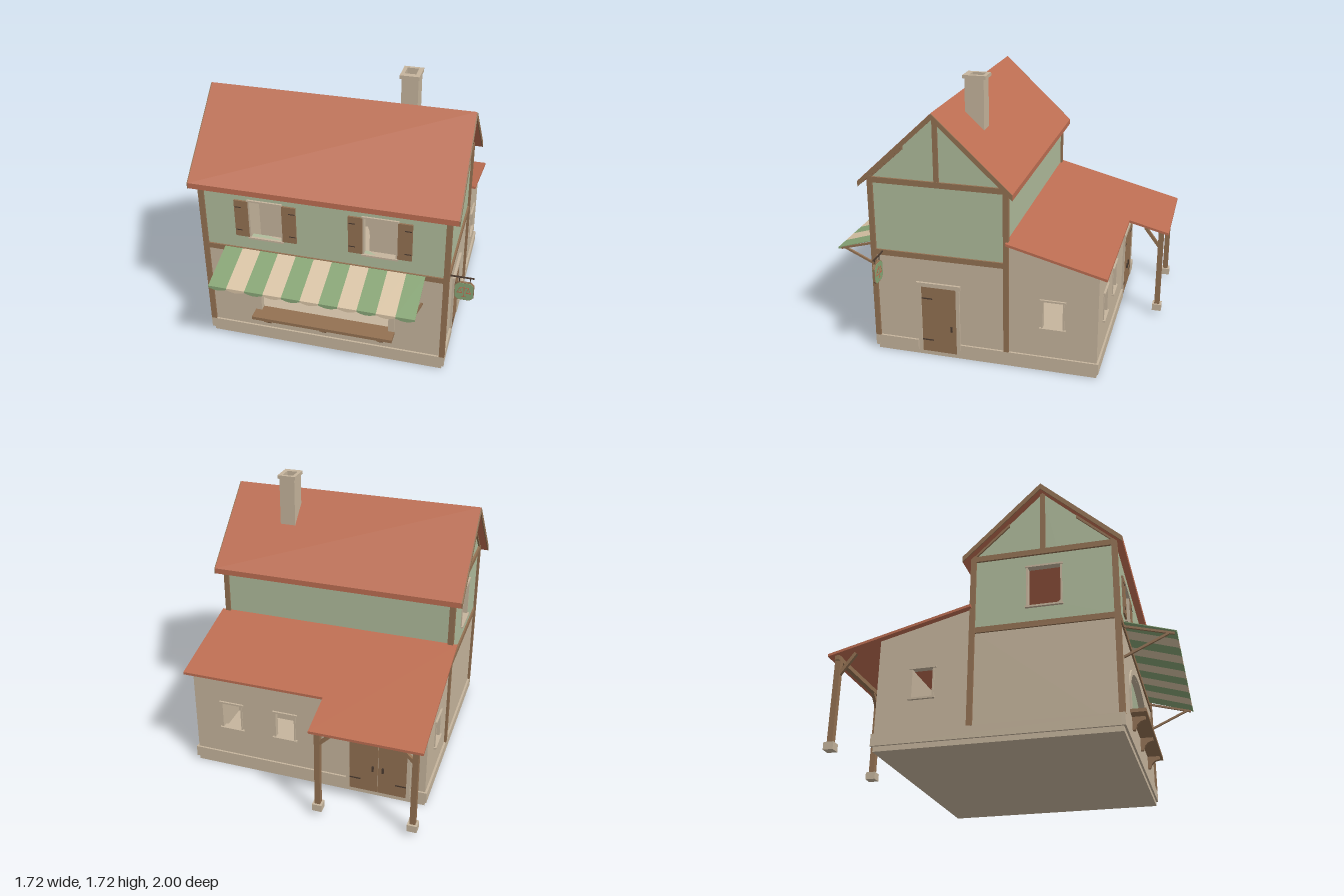
import * as THREE from 'three';

const paint = (name, color) => Object.assign(new THREE.MeshStandardMaterial({ color }), { name });

export function createModel() {
  const stone = paint('beige stone', 0xc6b59d);
  const plaster = paint('green plaster', 0xb0bc9c);
  const wood = paint('brown wood', 0x937152);
  const tile = paint('terracotta tile', 0xbd6e52);
  const clothGreen = paint('awning green', 0x88a576);
  const clothCream = paint('awning cream', 0xd9c4a6);
  clothGreen.side = clothCream.side = THREE.DoubleSide;
  const iron = paint('dark iron', 0x4b3b30);

  const root = new THREE.Group();
  const add = (name, geo, mat, parent = root) => {
    const m = new THREE.Mesh(geo, mat);
    m.name = name;
    parent.add(m);
    return m;
  };
  // box given by its limits
  const box = (name, mat, x0, x1, y0, y1, z0, z1, parent) =>
    add(name, new THREE.BoxGeometry(x1 - x0, y1 - y0, z1 - z0)
      .translate((x0 + x1) / 2, (y0 + y1) / 2, (z0 + z1) / 2), mat, parent);
  const rect = (a, b, c, d) => [[a, c], [b, c], [b, d], [a, d]];
  const extrude = (pts, holes, depth) => {
    const v = p => p.map(q => new THREE.Vector2(q[0], q[1]));
    const s = new THREE.Shape(v(pts));
    s.holes = holes.map(h => new THREE.Path(v(h)));
    return new THREE.ExtrudeGeometry(s, { depth, bevelEnabled: false });
  };
  // outline in x,y pushed along z
  const prismZ = (name, mat, pts, z0, z1, holes = [], parent) =>
    add(name, extrude(pts, holes, z1 - z0).translate(0, 0, z0), mat, parent);
  // outline in z,y pushed along x
  const prismX = (name, mat, pts, x0, x1, holes = [], parent) => {
    const flip = p => p.map(([z, y]) => [-z, y]);
    return add(name, extrude(flip(pts), holes.map(flip), x1 - x0).rotateY(Math.PI / 2).translate(x0, 0, 0), mat, parent);
  };
  // square bar between two points
  const bar = (name, mat, a, b, w, parent) => {
    const p = new THREE.Vector3(...a), q = new THREE.Vector3(...b), d = q.clone().sub(p);
    const m = add(name, new THREE.BoxGeometry(w, d.length(), w), mat, parent);
    m.position.copy(p).add(q).multiplyScalar(0.5);
    m.quaternion.setFromUnitVectors(new THREE.Vector3(0, 1, 0), d.normalize());
    return m;
  };
  const arch = (cx, y0, ySpring, rx, ry, n = 24) => {
    const pts = [[cx - rx, y0], [cx + rx, y0]];
    for (let i = 0; i <= n; i++) {
      const a = Math.PI * i / n;
      pts.push([cx + rx * Math.cos(a), ySpring + ry * Math.sin(a)]);
    }
    return pts;
  };
  // group facing outward from a wall; local +z is outward
  const mount = (name, x, y, z, turn) => {
    const g = new THREE.Group();
    g.name = name;
    g.position.set(x, y, z);
    g.rotation.y = turn;
    root.add(g);
    return g;
  };
  const RIGHT = Math.PI / 2, BACK = Math.PI, L = -0.8, R = 0.7, F = 0.7, T = 0.03;
  const MB = -0.14, EB = -0.69;

  // floor and plinth, broken at the doors
  box('floor', stone, L, R, 0, 0.03, EB, F);
  box('plinthFront', stone, L - 0.015, R + 0.015, 0.03, 0.1, F - 0.01, F + 0.012);
  box('plinthLeftSide', stone, R - 0.01, R + 0.013, 0.03, 0.1, 0.43, F);
  box('plinthLeftSide', stone, R - 0.01, R + 0.013, 0.03, 0.1, EB, 0.155);
  box('plinthRightSide', stone, L - 0.013, L + 0.01, 0.03, 0.1, EB, F);
  box('plinthBack', stone, -0.3, R + 0.013, 0.03, 0.1, EB - 0.012, EB + 0.01);
  box('plinthBack', stone, L - 0.013, -0.71, 0.03, 0.1, EB - 0.012, EB + 0.01);

  // main house walls
  const MID = 0.68, TOP = 1.165;
  prismZ('frontLowerWall', stone, rect(L, R, 0.03, MID), F - T, F, [arch(-0.05, 0.22, 0.36, 0.41, 0.21)]);
  prismZ('frontUpperWall', plaster, rect(L, R, MID, 1.15), F - T, F,
    [-0.4, 0.3].map(x => rect(x - 0.1, x + 0.1, 0.79, 1.04)));
  prismZ('backLowerWall', stone, rect(L + T, R - T, 0.03, MID), MB, MB + T, [arch(-0.11, 0.031, 0.35, 0.15, 0.15)]);
  prismZ('backUpperWall', plaster, rect(L, R, MID, 1.15), MB, MB + T);
  const gable = [[MB, MID], [F, MID], [F, 1.155], [0.28, 1.55], [MB, 1.155]];
  const upperWindow = rect(0.185, 0.385, 0.79, 1.04);
  for (const [x, holes] of [[R - T, []], [L, [upperWindow]]]) {
    prismX('sideLowerWall', stone, rect(MB, F - T, 0.03, MID), x, x + T);
    prismX('gableWall', plaster, gable, x, x + T, holes);
  }

  // rear extension walls
  const roofY = z => 0.83 + (z - MB) * 0.256;
  for (const x of [L, R - T])
    prismX('extensionSideWall', stone, [[EB, 0.03], [MB, 0.03], [MB, roofY(MB) - 0.012], [EB, roofY(EB) - 0.012]],
      x, x + T, [rect(-0.485, -0.355, 0.295, 0.47)]);
  prismZ('extensionBackWall', stone, rect(L + T, R - T, 0.03, roofY(EB) - 0.012), EB, EB + T,
    [0.095, 0.45].map(x => rect(x - 0.065, x + 0.065, 0.295, 0.47)));

  // main roof with wooden gable edges
  const chevron = [[0.75, 1.14], [0.28, 1.58], [-0.19, 1.14], [-0.19, 1.105], [0.28, 1.545], [0.75, 1.105]];
  prismX('mainRoof', tile, chevron, -0.855, 0.755);
  const barge = [[0.75, 1.138], [0.28, 1.578], [-0.19, 1.138], [-0.19, 1.103], [0.28, 1.54], [0.75, 1.103]];
  for (const x of [-0.861, 0.755]) prismX('bargeBoard', wood, barge, x, x + 0.006);

  // lean-to roof, longer over the porch
  const slab = (x0, x1, z) => prismX('leanToRoof', tile,
    [[MB, roofY(MB)], [z, roofY(z)], [z, roofY(z) - 0.016], [MB, roofY(MB) - 0.016]], x0, x1);
  slab(-0.84, -0.17, -1);
  slab(-0.17, 0.74, -0.74);

  // chimney, open at the top
  const ring = (name, x0, x1, z0, z1, y0, y1) => {
    const g = extrude(rect(x0, x1, -z1, -z0), [rect(0.31, 0.378, -0.172, -0.088)], y1 - y0);
    add(name, g.rotateX(-Math.PI / 2).translate(0, y0, 0), stone);
  };
  ring('chimney', 0.298, 0.398, 0.08, 0.198, 1.3, 1.7);
  ring('chimneyCap', 0.288, 0.405, 0.066, 0.208, 1.7, 1.722);

  // timber frame
  for (const [x0, x1] of [[L - 0.015, L + 0.02], [R - 0.018, R + 0.015]]) {
    box('cornerPost', wood, x0, x1, 0.1, 1.16, F - 0.02, F + 0.012);
    box('cornerPost', wood, x0, x1, 0.1, 1.16, MB - 0.012, MB + 0.02);
  }
  box('frontBeam', wood, L, R, 0.665, 0.7, F - 0.01, F + 0.01);
  for (const x of [L, R]) {
    box('sideBeam', wood, x - 0.011, x + 0.011, 0.655, 0.69, MB, F);
    box('sideBeam', wood, x - 0.013, x + 0.013, 1.12, 1.155, MB, F);
    box('kingPost', wood, x - 0.011, x + 0.011, 1.155, 1.545, 0.265, 0.295);
    for (const s of [1, -1])
      prismX('rafter', wood, [[0.2, 1.363], [0.43, 1.148], [0.43, 1.128], [0.2, 1.338]]
        .map(([d, y]) => [0.28 + s * d, y]), x - 0.011, x + 0.011);
  }

  // windows
  const frame = (g, w, h, lip) => {
    box('lintel', stone, -w / 2 - lip, w / 2 + lip, h / 2, h / 2 + 0.011, -T, 0.012, g);
    box('sill', stone, -w / 2 - lip, w / 2 + lip, -h / 2 - 0.011, -h / 2, -T, 0.016, g);
    for (const s of [-1, 1])
      box('jamb', stone, s * w / 2 - 0.005, s * w / 2 + 0.005, -h / 2, h / 2, -T, 0.006, g);
  };
  for (const x of [-0.4, 0.3]) {
    const g = mount('frontWindow', x, 0.915, F, 0);
    frame(g, 0.2, 0.25, 0.01);
    for (const s of [-1, 1]) {
      const a = s * 0.148;
      box('shutter', wood, a - 0.043, a + 0.043, -0.125, 0.125, 0, 0.011, g);
      for (const y of [-0.08, 0.08]) box('shutterHinge', iron, s * 0.167 - 0.02, s * 0.167 + 0.02, y - 0.003, y + 0.003, 0.01, 0.013, g);
    }
  }
  frame(mount('sideUpperWindow', L, 0.915, 0.285, -RIGHT), 0.2, 0.25, 0.01);
  frame(mount('extensionLeftWindow', R, 0.3825, -0.42, RIGHT), 0.13, 0.175, 0.015);
  frame(mount('extensionRightWindow', L, 0.3825, -0.42, -RIGHT), 0.13, 0.175, 0.015);
  for (const x of [0.095, 0.45]) frame(mount('backWindow', x, 0.3825, EB, BACK), 0.13, 0.175, 0.015);

  // doors with stone surrounds; each leaf is [left, right, hinge side]
  const door = (name, x, z, turn, w, h, leaves) => {
    const g = mount(name, x, 0.03, z, turn);
    for (const s of [-1, 1]) box('doorJamb', stone, s * (w / 2 + 0.011) - 0.011, s * (w / 2 + 0.011) + 0.011, 0, h, -0.01, 0.013, g);
    box('doorLintel', stone, -w / 2 - 0.03, w / 2 + 0.03, h, h + 0.026, -0.01, 0.016, g);
    for (const [a, b, s] of leaves) {
      box('doorLeaf', wood, a, b, 0, h, -0.01, 0.008, g);
      const hx = s < 0 ? a : b, kx = s < 0 ? b - 0.03 : a + 0.03;
      for (const y of [0.08, h - 0.08])
        box('doorHinge', iron, Math.min(hx, hx - s * 0.07), Math.max(hx, hx - s * 0.07), y - 0.004, y + 0.004, 0.007, 0.011, g);
      box('doorHandle', iron, kx - 0.006, kx + 0.006, 0.155, 0.19, 0.007, 0.018, g);
    }
  };
  door('sideDoor', R, 0.29, RIGHT, 0.222, 0.445, [[-0.11, 0.11, -1]]);
  door('backDoor', -0.505, EB, BACK, 0.36, 0.455, [[-0.18, -0.002, -1], [0.002, 0.18, 1]]);

  // shop arch stones
  const N = 19, pt = (a, rx, ry) => [-0.05 + rx * Math.cos(a), 0.36 + ry * Math.sin(a)];
  for (let i = 0; i < N; i++) {
    const a = Math.PI * i / N, b = Math.PI * (i + 1) / N, m = (a + b) / 2;
    prismZ('archStone', stone, [...[a, m, b].map(t => pt(t, 0.45, 0.24)), ...[b, m, a].map(t => pt(t, 0.41, 0.21))], F - T, F + 0.01);
  }
  for (const x of [-0.5, 0.36]) box('archJamb', stone, x, x + 0.04, 0.235, 0.36, F - T, F + 0.01);

  // shop counter on curved brackets
  box('counter', wood, -0.5, 0.4, 0.215, 0.236, F - T, 0.79);
  for (const x of [-0.415, -0.05, 0.315])
    prismX('counterBracket', wood, [[F, 0.216], [0.775, 0.216], [0.775, 0.195], [0.745, 0.185], [0.725, 0.165], [0.715, 0.138], [F, 0.138]], x - 0.013, x + 0.013);

  // striped awning with scalloped edge
  const SW = 1.245 / 11;
  for (let i = 0; i < 11; i++) {
    const x = -0.67 + i * SW, mat = i % 2 ? clothCream : clothGreen;
    prismX('awningStripe', mat, [[F, 0.7], [0.998, 0.607], [0.998, 0.603], [F, 0.696]], x, x + SW);
    const edge = [[x + SW, 0.607], [x, 0.607]];
    for (let k = 0; k <= 8; k++) edge.push([x + SW * k / 8, 0.596 - 0.014 * Math.sin(Math.PI * k / 8)]);
    prismZ('awningScallop', mat, edge, 0.995, 1);
  }
  for (const x of [-0.653, 0.56]) {
    bar('awningRail', wood, [x, 0.675, 0.7], [x, 0.597, 0.985], 0.013);
    bar('awningBrace', wood, [x, 0.485, 0.7], [x, 0.602, 0.955], 0.013);
  }

  // porch posts, beam and braces
  for (const [x, s] of [[-0.79, 1], [-0.21, -1]]) {
    box('porchFooting', stone, x - 0.03, x + 0.03, 0.03, 0.075, -0.98, -0.92);
    box('porchPost', wood, x - 0.017, x + 0.017, 0.075, 0.606, -0.967, -0.933);
    bar('porchBrace', wood, [x, 0.495, -0.94], [x, 0.62, -0.845], 0.02);
    bar('porchBrace', wood, [x, 0.495, -0.95], [x + s * 0.1, 0.595, -0.95], 0.02);
  }
  box('porchBeam', wood, -0.82, -0.18, 0.578, 0.606, -0.964, -0.936);

  // hanging sign with a pair of scales
  const g = mount('hangingSign', 0.798, 0.583, 0.638, 0);
  const octagon = (w, h, c) => [[-w + c, -h], [w - c, -h], [w, -h + c], [w, h - c], [w - c, h], [-w + c, h], [-w, h - c], [-w, -h + c]];
  prismZ('signBoard', wood, octagon(0.058, 0.063, 0.022), -0.007, 0.007, [], g);
  box('signArm', iron, -0.098, 0.055, 0.093, 0.1, -0.004, 0.004, g);
  for (const x of [-0.032, 0.032]) box('signHanger', iron, x - 0.002, x + 0.002, 0.06, 0.095, -0.002, 0.002, g);
  for (const z of [-0.009, 0.007]) {
    prismZ('signFace', clothGreen, octagon(0.055, 0.06, 0.021), z, z + 0.002, [], g);
    const z0 = z < 0 ? z - 0.002 : z + 0.002, z1 = z0 + 0.002;
    box('scalesPost', tile, -0.002, 0.002, -0.035, 0.04, z0, z1, g);
    box('scalesBeam', tile, -0.028, 0.028, 0.026, 0.03, z0, z1, g);
    box('scalesFoot', tile, -0.015, 0.015, -0.038, -0.034, z0, z1, g);
    for (const x of [-0.026, 0.026])
      prismZ('scalesPan', tile, [[x - 0.017, -0.012], [x + 0.017, -0.012], [x, 0.028]], z0, z1,
        [[[x - 0.011, -0.005], [x + 0.011, -0.005], [x, 0.021]]], g);
  }
  return root;
}
